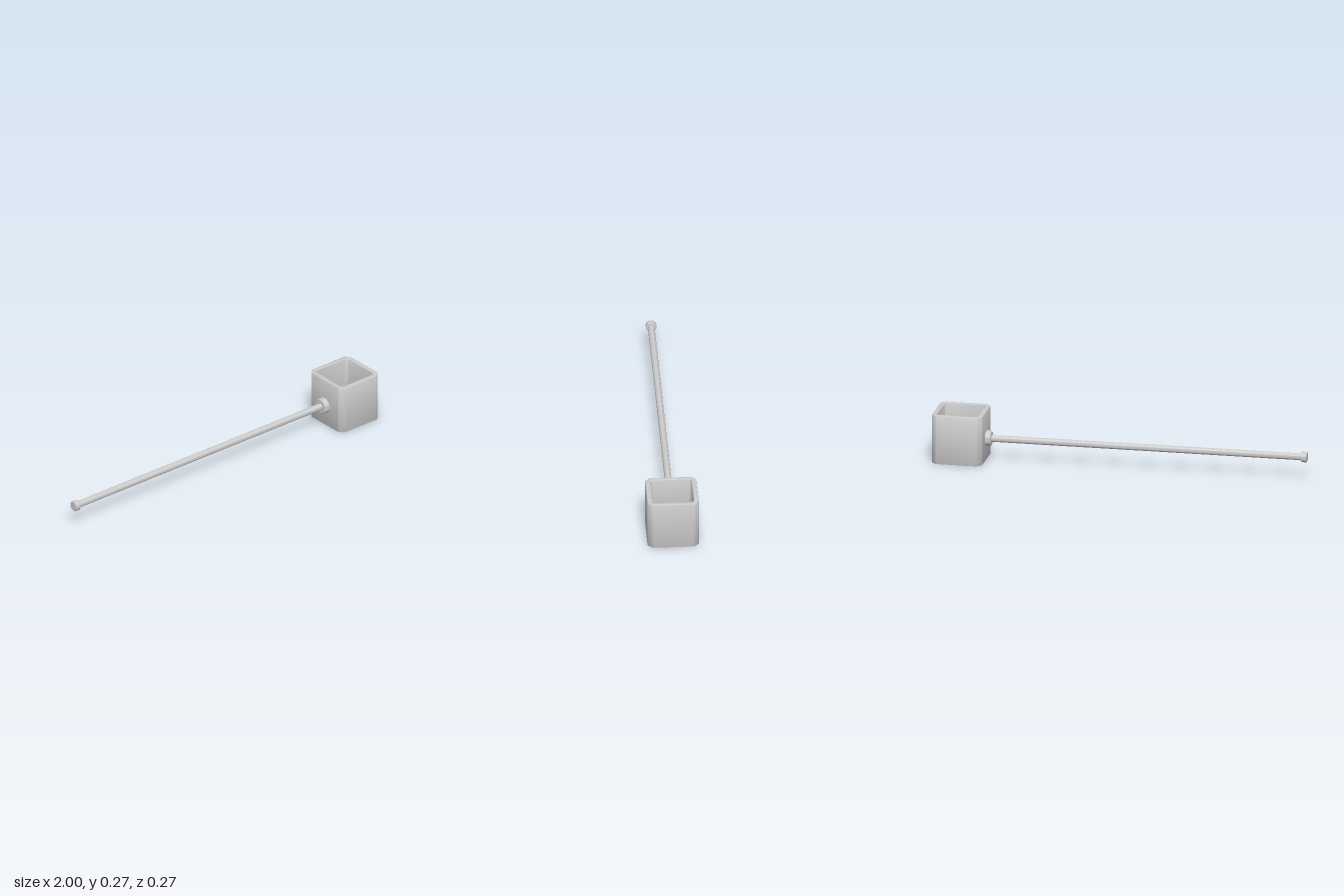
import * as THREE from 'three';
import { toCreasedNormals } from 'three/addons/utils/BufferGeometryUtils.js';

const material = new THREE.MeshStandardMaterial({ color: 0xcccccc });

// Square outline with cut corners, each cut softened by small curves
function cutSquare(path, half, cut, soft) {
  const corners = [[1, -1], [1, 1], [-1, 1], [-1, -1]];
  const pts = [];
  for (const [sx, sy] of corners) {
    const a = new THREE.Vector2(sx * half, sy * (half - cut));
    const b = new THREE.Vector2(sx * (half - cut), sy * half);
    pts.push(...(sx * sy < 0 ? [b, a] : [a, b]));
  }
  pts.forEach((p, i) => {
    const prev = pts[(i + 7) % 8], next = pts[(i + 1) % 8];
    const from = p.clone().add(prev.clone().sub(p).setLength(soft));
    const to = p.clone().add(next.clone().sub(p).setLength(soft));
    if (i === 0) path.moveTo(from.x, from.y);
    else path.lineTo(from.x, from.y);
    path.quadraticCurveTo(p.x, p.y, to.x, to.y);
  });
  path.closePath();
  return path;
}

// Turned part lying along x, from [x, radius] pairs
function turned(name, profile, y) {
  const points = profile.map(([x, r]) => new THREE.Vector2(r, x));
  const geometry = new THREE.LatheGeometry(points, 32).rotateZ(-Math.PI / 2);
  const mesh = new THREE.Mesh(toCreasedNormals(geometry, 0.5), material);
  mesh.name = name;
  mesh.position.y = y;
  return mesh;
}

export function createModel() {
  const group = new THREE.Group();
  group.name = 'malletWithHollowHead';

  // Open square head, hollow from top to bottom, with fine bevelled rims
  const height = 0.266, bevel = 0.004, half = 0.136;
  const outline = cutSquare(new THREE.Shape(), half, 0.025, 0.006);
  outline.holes.push(cutSquare(new THREE.Path(), 0.11, 0.012, 0.004));
  const headGeometry = new THREE.ExtrudeGeometry(outline, {
    depth: height - 2 * bevel, bevelEnabled: true, bevelThickness: bevel,
    bevelSize: bevel, bevelOffset: -bevel, bevelSegments: 2, curveSegments: 4,
  });
  headGeometry.rotateX(-Math.PI / 2).translate(1 - half, bevel, 0);
  const head = new THREE.Mesh(toCreasedNormals(headGeometry, 0.5), material);
  head.name = 'hollowHead';
  group.add(head);

  // Handle: long rod, end knob and the collar that meets the head
  const y = 0.119;
  group.add(turned('rod', [[-0.98, 0], [-0.98, 0.018], [0.71, 0.018], [0.71, 0]], y));
  group.add(turned('endKnob', [
    [-1, 0], [-1, 0.025], [-0.997, 0.028], [-0.972, 0.028], [-0.969, 0.025], [-0.969, 0],
  ], y));
  group.add(turned('collar', [
    [0.699, 0], [0.699, 0.037], [0.704, 0.042], [0.735, 0.042], [0.735, 0],
  ], y));

  return group;
}
